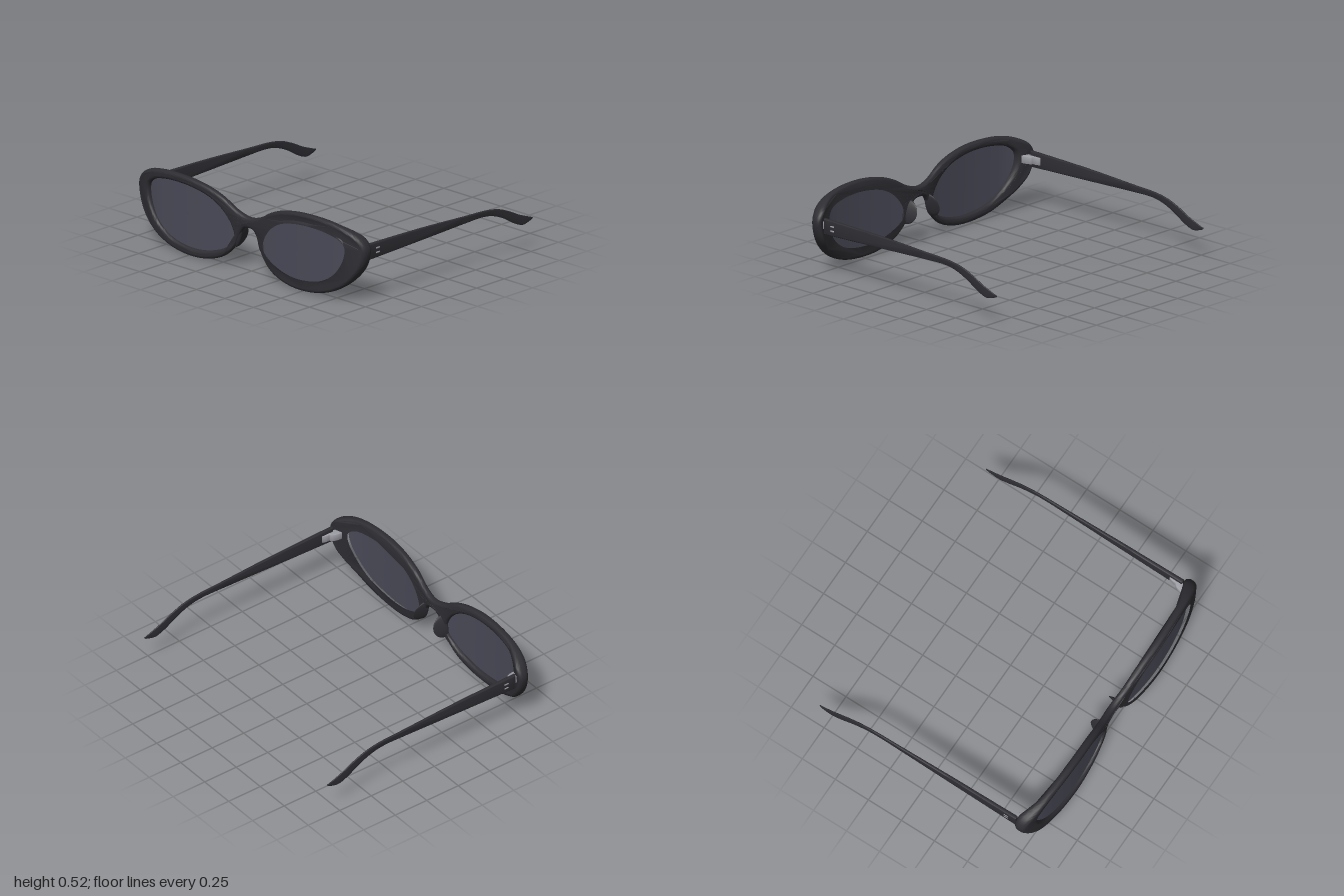
import * as THREE from 'three';
import { toCreasedNormals } from 'three/addons/utils/BufferGeometryUtils.js';

const frameMat = new THREE.MeshStandardMaterial({ color: 0x2d2d32 });
const lensMat = new THREE.MeshStandardMaterial({ color: 0x4a4a58, side: THREE.DoubleSide });
const metalMat = new THREE.MeshStandardMaterial({ color: 0x9a9aa2 });

// Smooth closed loop through [x, y] points
function loop(points, count) {
  const curve = new THREE.CatmullRomCurve3(points.map(([x, y]) => new THREE.Vector3(x, y, 0)), true);
  return curve.getPoints(count).slice(0, count).map((p) => new THREE.Vector2(p.x, p.y));
}

// Smooth height function through [x, value] points
function profile(points) {
  return (x) => {
    let i = 0;
    while (i < points.length - 2 && x > points[i + 1][0]) i++;
    const slope = (k) => {
      const a = points[Math.max(k - 1, 0)], b = points[Math.min(k + 1, points.length - 1)];
      return (b[1] - a[1]) / (b[0] - a[0]);
    };
    const [x0, y0] = points[i], [x1, y1] = points[i + 1], h = x1 - x0;
    const t = THREE.MathUtils.clamp((x - x0) / h, 0, 1), t2 = t * t, t3 = t2 * t;
    return (2 * t3 - 3 * t2 + 1) * y0 + (t3 - 2 * t2 + t) * h * (i ? slope(i) : 0)
      + (3 * t2 - 2 * t3) * y1 + (t3 - t2) * h * slope(i + 1);
  };
}

// Front and back faces of the curved front, by distance from the centre
const frontZ = profile([[0, 0.785], [0.25, 0.807], [0.5, 0.817], [0.8, 0.8], [0.92, 0.78], [1, 0.75]]);
const backZ = profile([[0, 0.737], [0.2, 0.756], [0.5, 0.766], [0.7, 0.757], [0.8, 0.744], [0.88, 0.715], [0.95, 0.685], [1, 0.685]]);

function moveVertices(geometry, rule) {
  const pos = geometry.attributes.position, v = new THREE.Vector3();
  for (let i = 0; i < pos.count; i++) {
    v.fromBufferAttribute(pos, i);
    rule(v);
    pos.setXYZ(i, v.x, v.y, v.z);
  }
  return geometry;
}

// Mirrored copy across x = 0 with the winding kept outward
function mirrorX(geometry) {
  const g = geometry.index ? geometry.toNonIndexed() : geometry.clone();
  for (const name of ['position', 'normal']) {
    const a = g.attributes[name], old = a.array.slice();
    for (let i = 0; i < a.count; i++) {
      const s = i % 3 === 1 ? i + 1 : i % 3 === 2 ? i - 1 : i;
      a.setXYZ(i, -old[3 * s], old[3 * s + 1], old[3 * s + 2]);
    }
  }
  return g;
}

function bevelled(shape, depth, bevel, segments) {
  const g = new THREE.ExtrudeGeometry(shape, {
    depth: depth - 2 * bevel, bevelSize: bevel, bevelThickness: bevel, bevelOffset: -bevel,
    bevelSegments: segments, curveSegments: 10,
  });
  return g.translate(0, 0, bevel - depth / 2);
}

// Half outline of the front, from bridge top round to bridge bottom
const halfOutline = [
  [0.1, 0.388], [0.2, 0.445], [0.3, 0.484], [0.45, 0.513], [0.6, 0.52], [0.75, 0.509], [0.88, 0.477],
  [0.96, 0.432], [0.997, 0.37], [0.988, 0.295], [0.95, 0.217], [0.88, 0.135], [0.78, 0.067], [0.65, 0.02],
  [0.48, 0.001], [0.34, 0.014], [0.22, 0.055], [0.14, 0.12], [0.096, 0.19], [0.066, 0.258], [0.04, 0.285],
];
const lensOutline = [
  [0.121, 0.2], [0.137, 0.27], [0.2, 0.355], [0.3, 0.42], [0.43, 0.455], [0.58, 0.466], [0.72, 0.455],
  [0.82, 0.428], [0.87, 0.385], [0.875, 0.32], [0.84, 0.23], [0.77, 0.147], [0.66, 0.085], [0.48, 0.056],
  [0.34, 0.068], [0.22, 0.107], [0.145, 0.155],
];

function frameGeometry() {
  const flip = ([x, y]) => [-x, y];
  const shape = new THREE.Shape(loop([
    [0, 0.362], ...halfOutline, [0, 0.292], ...halfOutline.map(flip).reverse(),
  ], 240));
  shape.holes.push(new THREE.Path(loop(lensOutline, 110)));
  shape.holes.push(new THREE.Path(loop(lensOutline.map(flip), 110)));
  const depth = 0.05;
  const g = bevelled(shape, depth, 0.02, 6);
  moveVertices(g, (v) => {
    const x = Math.abs(v.x);
    v.z = THREE.MathUtils.lerp(backZ(x), frontZ(x), v.z / depth + 0.5);
  });
  return toCreasedNormals(g, 0.8);
}

// Lens: concentric loops shrinking to the centre, following the curve of the front
function lensGeometry() {
  const edge = loop(lensOutline, 80), n = edge.length, rings = 10;
  const positions = [], index = [];
  for (let r = 0; r <= rings; r++) {
    for (const p of edge) {
      const s = (r / rings) * 1.02;
      const x = 0.5 + (p.x - 0.5) * s, y = 0.26 + (p.y - 0.26) * s;
      positions.push(x, y, (frontZ(x) + backZ(x)) / 2 + 0.004);
    }
  }
  for (let r = 0; r < rings; r++) {
    for (let i = 0; i < n; i++) {
      const j = (i + 1) % n, a = r * n + i, b = r * n + j;
      if (r) index.push(a, b, a + n);
      index.push(b, b + n, a + n);
    }
  }
  const g = new THREE.BufferGeometry();
  g.setAttribute('position', new THREE.Float32BufferAttribute(positions, 3));
  g.setIndex(index);
  g.computeVertexNormals();
  return g;
}

// Temple arm: side outline in (z, y), thinned towards the tip
function templeGeometry() {
  const v2 = ([z, y]) => new THREE.Vector2(z, y);
  const shape = new THREE.Shape();
  shape.moveTo(0.675, 0.286);
  shape.lineTo(0.675, 0.39);
  shape.splineThru([[0.2, 0.379], [-0.2, 0.36], [-0.38, 0.352], [-0.5, 0.333], [-0.6, 0.296], [-0.7, 0.247], [-0.815, 0.203]].map(v2));
  shape.splineThru([[-0.8, 0.191], [-0.74, 0.175], [-0.7, 0.18], [-0.64, 0.207], [-0.55, 0.26], [-0.45, 0.3], [-0.35, 0.315], [-0.2, 0.313], [0.2, 0.3], [0.675, 0.286]].map(v2));
  const g = bevelled(shape, 0.028, 0.007, 3).rotateY(-Math.PI / 2);
  moveVertices(g, (v) => {
    v.x = 0.952 + v.x * THREE.MathUtils.mapLinear(v.z, -0.82, 0.675, 0.3, 1);
  });
  return toCreasedNormals(g, 0.7);
}

// Nose pad: oval pinched to a thin ridge at the back
function nosePadGeometry() {
  const g = new THREE.SphereGeometry(1, 28, 20);
  moveVertices(g, (v) => {
    v.x *= 0.026 * (1 - 0.75 * Math.max(0, -v.z));
    v.y *= 0.08;
    v.z *= v.z < 0 ? 0.09 : 0.02;
  });
  g.computeVertexNormals();
  return g.rotateZ(0.25).translate(0.103, 0.215, 0.765);
}

// Hinge: curved metal bracket from the arm to the back of the front
function hingeGeometry() {
  const shape = new THREE.Shape();
  shape.moveTo(0.95, -0.585);
  shape.lineTo(0.933, -0.585);
  shape.quadraticCurveTo(0.922, -0.62, 0.925, -0.635);
  shape.quadraticCurveTo(0.892, -0.65, 0.895, -0.725);
  shape.lineTo(0.95, -0.725);
  return toCreasedNormals(bevelled(shape, 0.05, 0.004, 2).rotateX(-Math.PI / 2).translate(0, 0.338, 0), 0.6);
}

function rivetGeometry(y) {
  const g = new THREE.CapsuleGeometry(0.006, 0.023, 4, 10).rotateX(Math.PI / 2);
  return g.scale(0.6, 1, 1).translate(0.9645, y, 0.6);
}

export function createModel() {
  const model = new THREE.Group();
  model.name = 'sunglasses';
  const add = (name, geometry, material) => {
    const mesh = new THREE.Mesh(geometry, material);
    mesh.name = name;
    model.add(mesh);
  };
  const addPair = (name, geometry, material) => {
    add('left' + name, geometry, material);
    add('right' + name, mirrorX(geometry), material);
  };
  add('frontFrame', frameGeometry(), frameMat);
  addPair('Lens', lensGeometry(), lensMat);
  addPair('NosePad', nosePadGeometry(), frameMat);
  addPair('Temple', templeGeometry(), frameMat);
  addPair('Hinge', hingeGeometry(), metalMat);
  addPair('UpperRivet', rivetGeometry(0.352), metalMat);
  addPair('LowerRivet', rivetGeometry(0.322), metalMat);
  return model;
}
